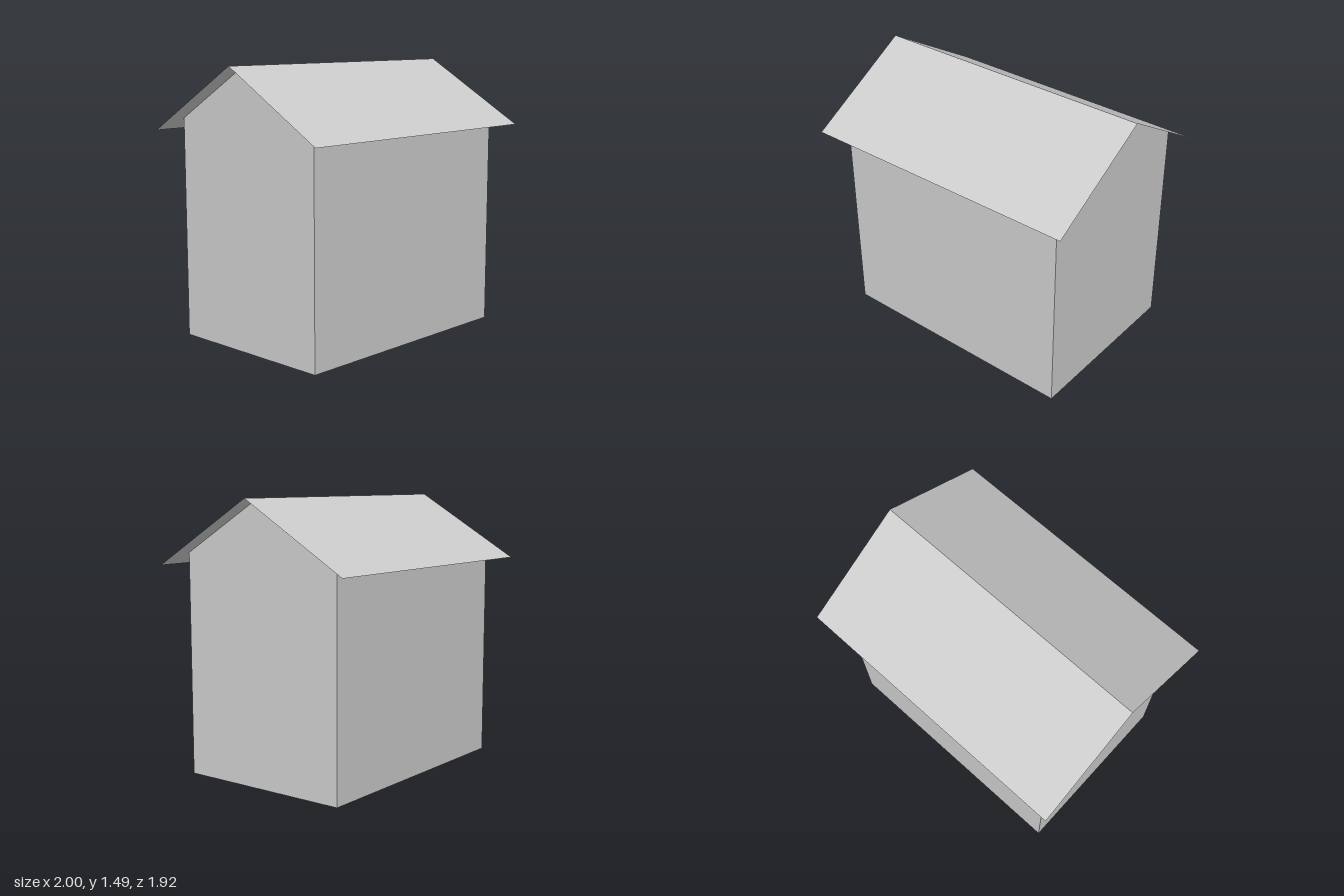
import * as THREE from 'three';

const LENGTH = 0.7, WIDTH = 0.49;         // half sizes of the walls
const ROOF_LENGTH = 0.8, ROOF_WIDTH = 0.6; // half sizes of the roof
const RIDGE = 1.485, EAVE = 1.13;
const WALL_TOP = RIDGE - (RIDGE - EAVE) * WIDTH / ROOF_WIDTH;

export function createModel() {
  const grey = new THREE.MeshStandardMaterial({ color: 0xcccccc, side: THREE.DoubleSide });
  grey.name = 'light grey';

  const house = new THREE.Group();
  house.name = 'house';

  const add = (name, geometry) => {
    const mesh = new THREE.Mesh(geometry, grey);
    mesh.name = name;
    house.add(mesh);
    return mesh;
  };

  // Five-cornered end wall reaching up to the ridge
  const gable = new THREE.Shape([
    [-WIDTH, 0], [WIDTH, 0], [WIDTH, WALL_TOP], [0, RIDGE], [-WIDTH, WALL_TOP],
  ].map(([x, y]) => new THREE.Vector2(x, y)));

  const pitch = Math.atan2(RIDGE - EAVE, ROOF_WIDTH);
  const slope = Math.hypot(RIDGE - EAVE, ROOF_WIDTH);

  for (const side of [1, -1]) {
    const end = add(side > 0 ? 'leftGableWall' : 'rightGableWall', new THREE.ShapeGeometry(gable));
    end.rotation.y = side * Math.PI / 2;
    end.position.x = side * LENGTH;

    const wall = add(side > 0 ? 'frontWall' : 'backWall', new THREE.PlaneGeometry(2 * LENGTH, WALL_TOP));
    wall.rotation.y = side > 0 ? 0 : Math.PI;
    wall.position.set(0, WALL_TOP / 2, side * WIDTH);

    // Thin roof sheet, overhanging the walls on every side
    const sheet = new THREE.PlaneGeometry(2 * ROOF_LENGTH, slope)
      .rotateX(-Math.PI / 2 + pitch)
      .translate(0, (RIDGE + EAVE) / 2, ROOF_WIDTH / 2);
    const roof = add(side > 0 ? 'frontRoof' : 'backRoof', sheet);
    roof.rotation.y = side > 0 ? 0 : Math.PI;
  }

  // The house stands turned on its plot
  house.rotation.y = Math.atan2(0.6, 0.8);

  const model = new THREE.Group();
  model.name = 'gabledHouse';
  model.add(house);
  return model;
}
